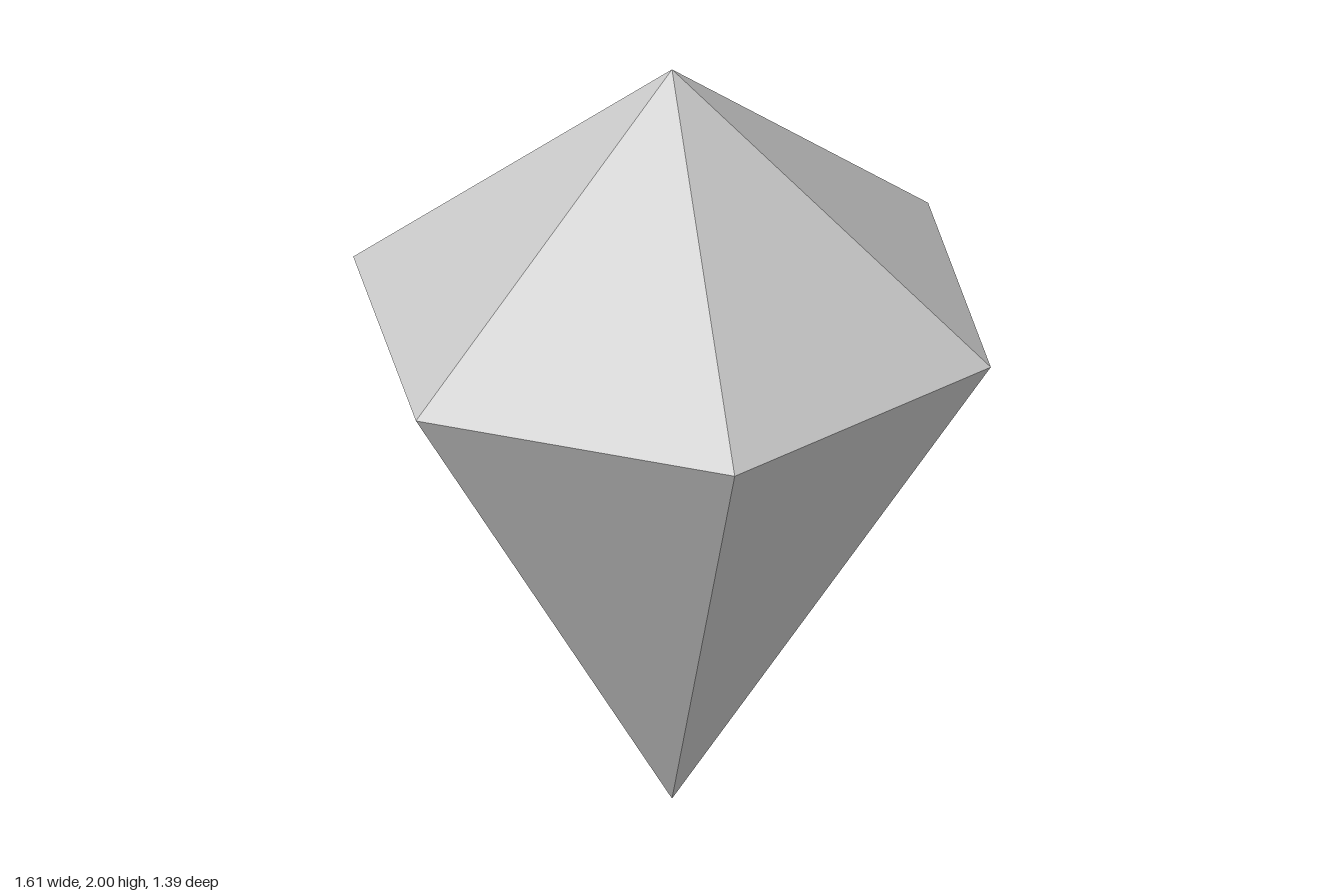
import * as THREE from 'three';

const RADIUS = 0.805;
const GIRDLE_Y = 1.335;
const TOP_Y = 2;
const SIDES = 6;

export function createModel() {
  const group = new THREE.Group();
  group.name = 'crystal';

  const grey = new THREE.MeshStandardMaterial({ color: 0xc8c8c8 });
  grey.name = 'grey';
  grey.flatShading = true;

  // Open six-sided pyramid with corners on the x axis
  const pyramid = (name, height) => {
    const geometry = new THREE.ConeGeometry(RADIUS, height, SIDES, 1, true, Math.PI / 2);
    const mesh = new THREE.Mesh(geometry, grey);
    mesh.name = name;
    group.add(mesh);
    return mesh;
  };

  // Short upper half
  const crown = pyramid('crown', TOP_Y - GIRDLE_Y);
  crown.position.y = (TOP_Y + GIRDLE_Y) / 2;

  // Long lower half, pointing down
  const point = pyramid('lowerPoint', GIRDLE_Y);
  point.rotation.x = Math.PI;
  point.position.y = GIRDLE_Y / 2;

  return group;
}
